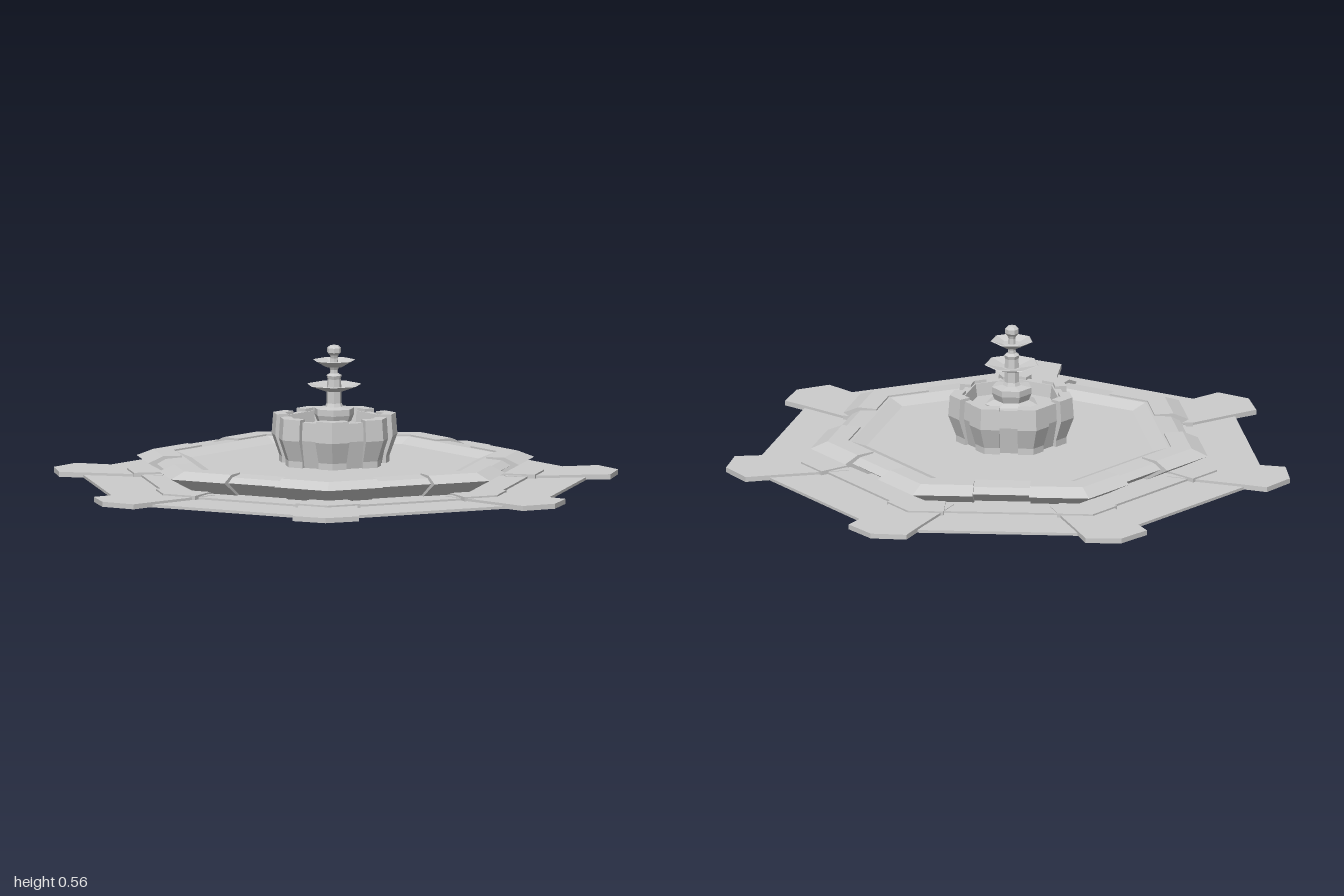
import * as THREE from 'three';

const N = 7;
const STEP = (Math.PI * 2) / N;
const mat = new THREE.MeshStandardMaterial({ color: 0xcccccc, flatShading: true, side: THREE.DoubleSide });

function add(parent, name, geometry) {
  const mesh = new THREE.Mesh(geometry, mat);
  mesh.name = name;
  parent.add(mesh);
  return mesh;
}

// Seven-sided lathe with a corner on +x; profile points are [corner radius, y]
function heptagon(profile, closed = false) {
  const pts = (closed ? [...profile, profile[0]] : profile).map(([r, y]) => new THREE.Vector2(r, y));
  return new THREE.LatheGeometry(pts, N, Math.PI / 2).toNonIndexed();
}

// Block wrapped around the +x corner; its square-cut ends stop at distance t from the middle of each side
function cornerBlock(profile, t) {
  const half = STEP / 2, n = profile.length, pos = [], idx = [];
  for (const side of [-1, 0, 1]) {
    for (const [r, y] of profile) {
      const a = r * Math.cos(half);
      if (side === 0) pos.push(r, y, 0);
      else pos.push(a * Math.cos(half) + t * Math.sin(half), y, side * (a * Math.sin(half) - t * Math.cos(half)));
    }
  }
  for (let s = 0; s < 2; s++) {
    for (let i = 0; i < n; i++) {
      const j = (i + 1) % n, a = s * n + i, b = s * n + j;
      idx.push(a, b, a + n, b, b + n, a + n);
    }
  }
  for (let i = 1; i < n - 1; i++) {
    idx.push(0, i + 1, i, 2 * n, 2 * n + i, 2 * n + i + 1);
  }
  const g = new THREE.BufferGeometry();
  g.setAttribute('position', new THREE.Float32BufferAttribute(pos, 3));
  g.setIndex(idx);
  const flat = g.toNonIndexed();
  flat.computeVertexNormals();
  return flat;
}

// Flat outline in x/z, extruded upward from y0 to y1
function plate(points, y0, y1) {
  const shape = new THREE.Shape(points.map(([x, z]) => new THREE.Vector2(x, -z)));
  const g = new THREE.ExtrudeGeometry(shape, { depth: y1 - y0, bevelEnabled: false });
  return g.rotateX(-Math.PI / 2).translate(0, y0, 0);
}

// Repeat a geometry at all seven corners
function around(parent, name, geometry) {
  const ring = new THREE.Group();
  ring.name = name + 's';
  for (let i = 0; i < N; i++) add(ring, name, geometry).rotation.y = i * STEP;
  parent.add(ring);
}

export function createModel() {
  const fountain = new THREE.Group();
  fountain.name = 'fountain';
  fountain.position.x = -0.045;

  // Paved base with a pointed foot at each corner
  add(fountain, 'pavement', heptagon([[0.43, 0.066], [0.938, 0.066], [0.938, 0.076], [0.43, 0.076]], true));
  around(fountain, 'cornerFoot', plate(
    [[0.6, -0.1], [0.86, -0.11], [0.972, -0.117], [1.022, 0], [0.972, 0.117], [0.86, 0.11], [0.6, 0.1]], 0.067, 0.085));

  // Low step around the basin
  add(fountain, 'basinStep', heptagon([[0.42, 0.07], [0.725, 0.07], [0.725, 0.083], [0.42, 0.083]], true));
  around(fountain, 'cornerStep', cornerBlock([[0.6, 0.07], [0.755, 0.07], [0.755, 0.091], [0.6, 0.091]], 0.2));

  // Basin: recessed rim, thicker rim blocks over the corners, shallow floor
  add(fountain, 'basinRim', heptagon(
    [[0.52, 0.08], [0.585, 0.08], [0.685, 0.135], [0.65, 0.152], [0.575, 0.157], [0.52, 0.137]], true));
  around(fountain, 'rimBlock', cornerBlock(
    [[0.585, 0.08], [0.605, 0.08], [0.72, 0.138], [0.66, 0.162], [0.585, 0.162]], 0.1));
  add(fountain, 'basinFloor', heptagon([[0, 0.088], [0.56, 0.088], [0.56, 0.137], [0, 0.137]]));

  // Underside: hub, ring and radial lugs
  add(fountain, 'hub', heptagon([[0, 0], [0.108, 0], [0.115, 0.045], [0.115, 0.09], [0, 0.09]]));
  add(fountain, 'hubRing', heptagon([[0.155, 0.035], [0.205, 0.035], [0.225, 0.09], [0.14, 0.09]], true));
  around(fountain, 'hubLug', plate(
    [[0.16, -0.04], [0.3, -0.052], [0.322, 0], [0.3, 0.052], [0.16, 0.04]], 0.028, 0.09));

  // Central crown-shaped bowl
  add(fountain, 'bowl', heptagon(
    [[0, 0.13], [0.182, 0.13], [0.205, 0.235], [0.2, 0.3], [0.172, 0.3], [0.165, 0.255], [0, 0.255]]));
  around(fountain, 'bowlBlock', cornerBlock(
    [[0.165, 0.13], [0.2, 0.13], [0.2, 0.16], [0.228, 0.235], [0.222, 0.31], [0.178, 0.31]], 0.032));

  // Column with stepped plinth
  add(fountain, 'plinth', heptagon(
    [[0.095, 0.25], [0.095, 0.27], [0.062, 0.285], [0.072, 0.31], [0.072, 0.332], [0.035, 0.338], [0, 0.338]]));
  add(fountain, 'column', heptagon(
    [[0.034, 0.335], [0.027, 0.35], [0.027, 0.4], [0.024, 0.435], [0.028, 0.448], [0.015, 0.456],
      [0.014, 0.468], [0.019, 0.478], [0.014, 0.49], [0.012, 0.52]]));

  // Two shallow dishes
  for (const [name, r, y] of [['lowerDish', 0.098, 0.415], ['upperDish', 0.076, 0.502]]) {
    add(fountain, name, heptagon(
      [[0.01, y - 0.024], [0.035, y - 0.022], [r, y], [r - 0.004, y + 0.002], [0.035, y - 0.012], [0.01, y - 0.012]]));
  }

  // Finial
  add(fountain, 'finial', heptagon(
    [[0.012, 0.508], [0.016, 0.52], [0.025, 0.53], [0.025, 0.546], [0.015, 0.555], [0, 0.557]]));

  const model = new THREE.Group();
  model.name = 'model';
  model.add(fountain);
  return model;
}
